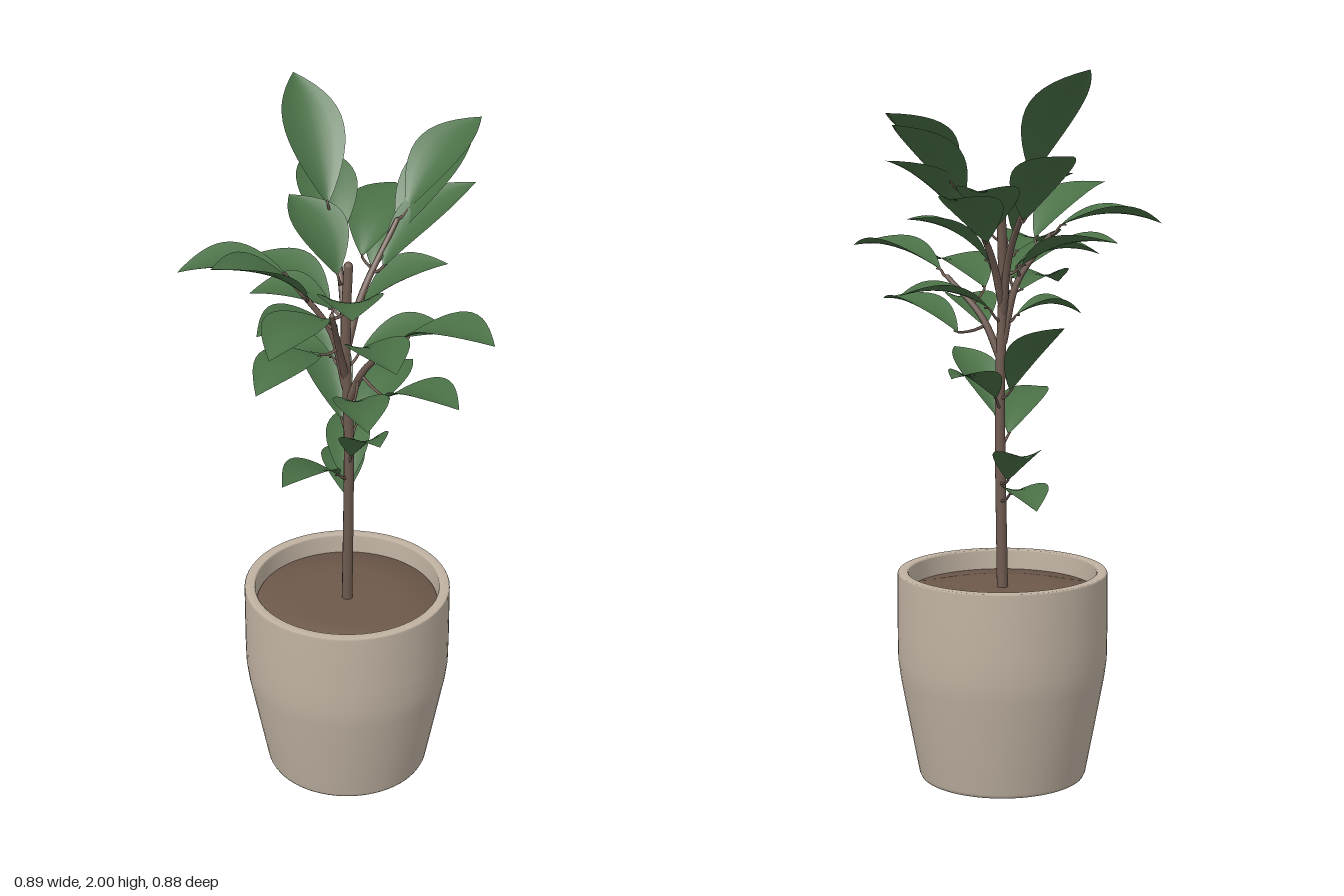
import * as THREE from 'three';

const V = (a) => new THREE.Vector3(...a);

const potMat = new THREE.MeshStandardMaterial({ name: 'stoneware', color: 0xc0b2a2 });
const soilMat = new THREE.MeshStandardMaterial({ name: 'soil', color: 0x6e594b });
const barkMat = new THREE.MeshStandardMaterial({ name: 'bark', color: 0x6e5a50 });
const leafMat = new THREE.MeshStandardMaterial({ name: 'leafGreen', color: 0x4a7046, side: THREE.DoubleSide });

function lathe(name, pts, mat) {
  const mesh = new THREE.Mesh(new THREE.LatheGeometry(pts.map((p) => new THREE.Vector2(...p)), 64), mat);
  mesh.name = name;
  return mesh;
}

// Tube whose radius shrinks from r0 to r1, closed with a small cap
function taperedTube(name, curve, r0, r1, segs, sides) {
  const geo = new THREE.TubeGeometry(curve, segs, 1, sides);
  const pos = geo.attributes.position, p = new THREE.Vector3();
  for (let i = 0; i < pos.count; i++) {
    const t = Math.floor(i / (sides + 1)) / segs;
    const c = curve.getPointAt(t);
    p.fromBufferAttribute(pos, i).sub(c).multiplyScalar(r0 + (r1 - r0) * t).add(c);
    pos.setXYZ(i, p.x, p.y, p.z);
  }
  const mesh = new THREE.Mesh(geo, barkMat);
  mesh.name = name;
  const cap = new THREE.Mesh(new THREE.SphereGeometry(r1, sides, 6), barkMat);
  cap.name = name + 'End';
  cap.position.copy(curve.getPointAt(1));
  mesh.add(cap);
  return mesh;
}

// Blade from base to tip: arched along its length, folded at the midrib, pointed tip
function leafBlade(base, tip, halfWidth, arch) {
  const axis = tip.clone().sub(base);
  const side = axis.clone().cross(new THREE.Vector3(0, 1, 0)).normalize();
  const normal = side.clone().cross(axis).normalize();
  const geo = new THREE.PlaneGeometry(1, 1, 6, 14);
  const pos = geo.attributes.position, p = new THREE.Vector3();
  for (let i = 0; i < pos.count; i++) {
    const v = pos.getX(i) * 2, t = pos.getY(i) + 0.5;
    const w = halfWidth * (Math.pow(Math.max(Math.sin(Math.PI * Math.pow(t, 1.1)), 0), 0.8) * (1 - 0.35 * t ** 8) + 0.02 * (1 - t));
    const lift = arch * 4 * t * (1 - t) + 0.3 * w * v * v;
    p.copy(base).addScaledVector(axis, t).addScaledVector(side, v * w).addScaledVector(normal, lift);
    pos.setXYZ(i, p.x, p.y, p.z);
  }
  geo.computeVertexNormals();
  const mesh = new THREE.Mesh(geo, leafMat);
  mesh.name = 'leafBlade';
  return mesh;
}

// Trunk first, then branches; each row is a path of points
const STEMS = [
  [[0, 0.53, 0], [0.008, 1.1, 0.015], [0, 1.4, 0.02], [0.003, 1.6, 0]],
  [[0, 1.33, 0.02], [-0.02, 1.5, -0.03], [-0.09, 1.69, -0.18]],
  [[0, 1.35, 0.02], [0.03, 1.5, -0.04], [0.1, 1.68, -0.16]],
  [[0.005, 1.2, 0.02], [0.06, 1.32, 0.04], [0.16, 1.43, 0.08]],
  [[0, 1.25, 0.02], [-0.04, 1.42, 0.03], [-0.13, 1.55, 0.05]],
  [[0, 1.28, 0.02], [-0.005, 1.4, 0.08], [0, 1.53, 0.17]],
];

// Leaf rows: tip x, y, z and the rise from base to tip
const LEAVES = [
  // crown, back
  [-0.245, 2.0, -0.375, 0.28], [-0.2, 1.73, -0.15, 0.17], [-0.19, 1.78, -0.4, 0.18],
  [0.275, 1.89, -0.445, 0.19], [0.265, 1.86, -0.395, 0.22], [0.295, 1.765, -0.27, 0.19],
  [0.11, 1.67, -0.42, 0.13], [0.04, 1.69, -0.41, 0.11], [0.26, 1.6, -0.08, 0.12],
  // crown, left and right
  [-0.32, 1.54, -0.14, 0.07], [-0.445, 1.58, 0.105, 0], [-0.27, 1.5, 0.02, 0.03],
  [0.442, 1.51, 0.21, 0.06], [0.365, 1.35, 0.275, 0.08], [0.28, 1.39, -0.09, 0.04],
  // crown, front
  [-0.285, 1.69, 0.305, 0.15], [0.12, 1.65, 0.44, 0.1], [-0.105, 1.5, 0.41, 0],
  [-0.145, 1.39, 0.4, 0], [-0.175, 1.5, 0.28, 0.07], [0.16, 1.34, 0.435, 0.06], [0.21, 1.46, 0.33, 0.06],
  // middle and lower stem
  [-0.22, 1.33, 0.05, 0], [-0.18, 1.32, -0.24, 0.2], [0.12, 1.19, -0.31, 0.09],
  [0.155, 1.21, 0.27, 0.17], [-0.1, 1.085, 0.325, 0.1], [-0.085, 0.985, -0.365, 0.11], [-0.11, 0.845, -0.37, 0.005],
];

// A leaf points away from the trunk; upper leaves are wider. Its stalk joins the nearest stem.
function makeLeaf([x, y, z, rise], stemPoints) {
  const tip = new THREE.Vector3(x, y, z);
  const reach = Math.hypot(x, z);
  const k = Math.max(0.04, reach - 0.29) / reach;
  const base = new THREE.Vector3(x * k, y - rise, z * k);
  const halfWidth = 0.064 + 0.02 * THREE.MathUtils.smoothstep(y, 1.2, 1.5);
  const aim = base.clone().add(new THREE.Vector3(0, -0.03, 0));
  const root = stemPoints.reduce((m, s) => (s.distanceTo(aim) < m.distanceTo(aim) ? s : m));
  const mid = root.clone().lerp(base, 0.5).add(new THREE.Vector3(0, -0.006, 0));
  const stalk = new THREE.CatmullRomCurve3([root, mid, base, base.clone().lerp(tip, 0.04)]);
  const leaf = new THREE.Group();
  leaf.name = 'leaf';
  leaf.add(leafBlade(base, tip, halfWidth, 0.03), taperedTube('leafStalk', stalk, 0.005, 0.003, 8, 6));
  return leaf;
}

export function createModel() {
  const model = new THREE.Group();
  model.name = 'pottedPlant';

  // Pot and soil
  model.add(lathe('pot', [[0, 0], [0.21, 0], [0.235, 0.002], [0.24, 0.012], [0.268, 0.16], [0.292, 0.29],
    [0.299, 0.345], [0.3, 0.42], [0.299, 0.595], [0.296, 0.6], [0.272, 0.6], [0.268, 0.595], [0.266, 0.5]], potMat));
  model.add(lathe('soil', [[0.267, 0.5], [0.264, 0.543], [0.15, 0.55], [0, 0.552]], soilMat));

  // Trunk and branches
  const stems = new THREE.Group();
  stems.name = 'stems';
  const stemPoints = [];
  STEMS.forEach((pts, i) => {
    const curve = new THREE.CatmullRomCurve3(pts.map(V));
    stemPoints.push(...curve.getSpacedPoints(40));
    stems.add(i === 0
      ? taperedTube('trunk', curve, 0.016, 0.013, 32, 10)
      : taperedTube('branch', curve, 0.012, 0.007, 14, 8));
  });
  model.add(stems);

  // Leaves
  const foliage = new THREE.Group();
  foliage.name = 'foliage';
  LEAVES.forEach((row) => foliage.add(makeLeaf(row, stemPoints)));
  model.add(foliage);
  return model;
}
